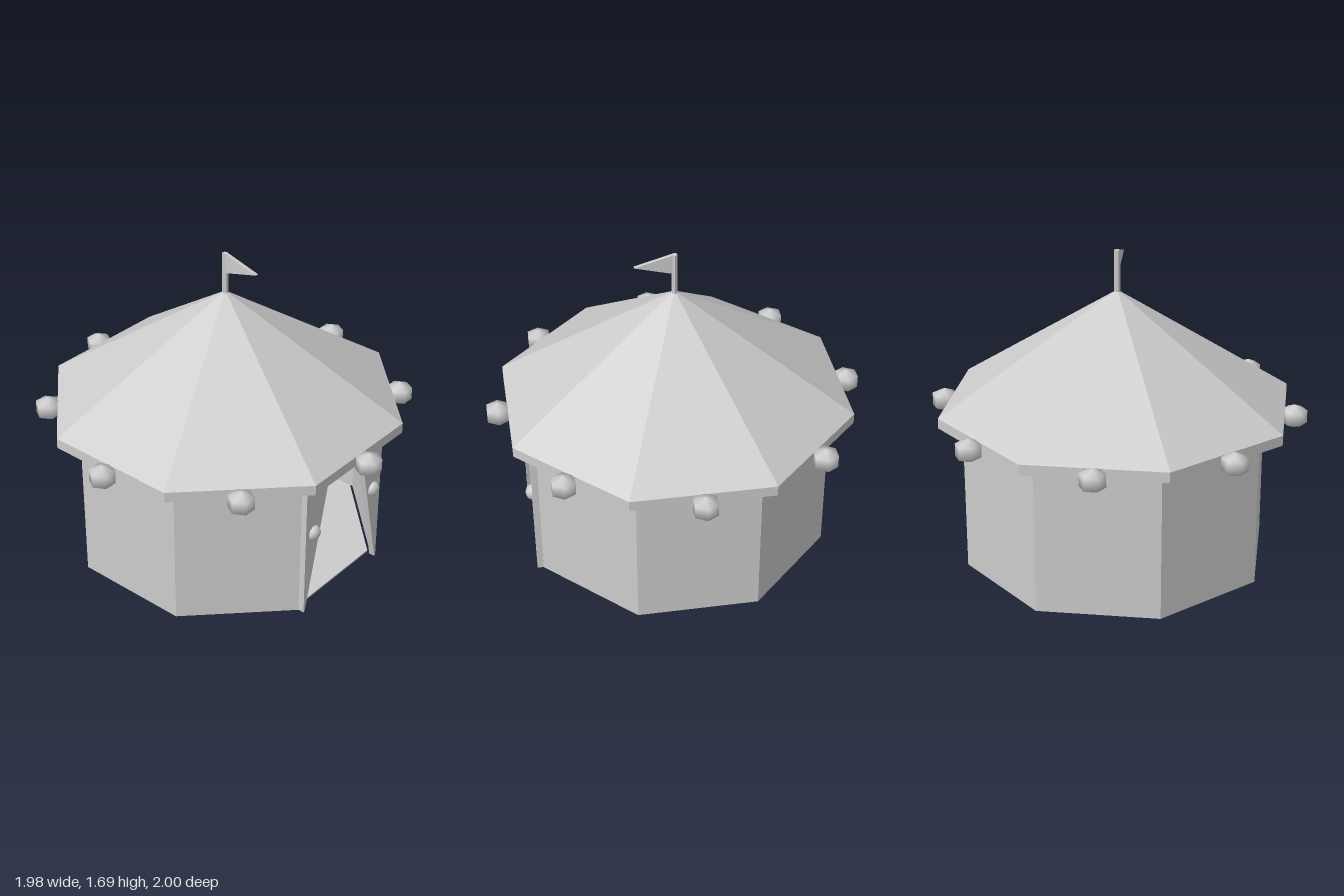
import * as THREE from 'three';

const canvas = new THREE.MeshStandardMaterial({ color: 0xcccccc, side: THREE.DoubleSide });
canvas.name = 'plain grey';

const STEP = Math.PI / 4;

// Gives every face its own normal
function faceted(geometry) {
  const g = geometry.index ? geometry.toNonIndexed() : geometry;
  g.computeVertexNormals();
  return g;
}

// Octagonal prism or cone with a flat side facing the front
function octagon(topRadius, bottomRadius, bottom, top, open = false) {
  return faceted(new THREE.CylinderGeometry(topRadius, bottomRadius, top - bottom, 8, 1, open, STEP / 2)
    .translate(0, (bottom + top) / 2, 0));
}

// Flat triangular plate of given thickness, centred in depth
function plate(points, depth) {
  const shape = new THREE.Shape(points.map(([x, y]) => new THREE.Vector2(x, y)));
  return faceted(new THREE.ExtrudeGeometry(shape, { depth, bevelEnabled: false }).translate(0, 0, -depth / 2));
}

export function createModel() {
  const tent = new THREE.Group();
  tent.name = 'tent';
  const add = (name, geometry, x = 0, y = 0, z = 0) => {
    const mesh = new THREE.Mesh(geometry, canvas);
    mesh.name = name;
    mesh.position.set(x, y, z);
    tent.add(mesh);
    return mesh;
  };

  // Seven wall panels, leaving the left side open as a doorway
  add('walls', faceted(new THREE.CylinderGeometry(0.829, 0.829, 0.81, 7, 1, true, STEP * 2.5, STEP * 7)
    .translate(0, 0.405, 0)));
  add('floor', octagon(0.812, 0.812, 0.006, 0.014));

  // Roof with a short upright rim and a flat ceiling
  add('roofRim', octagon(0.956, 0.956, 0.805, 0.86));
  add('roof', octagon(0, 0.956, 0.86, 1.475, true));

  // Balls hung around the rim
  const ballProfile = [[0, -0.064], [0.067, -0.034], [0.067, 0.034], [0, 0.064]]
    .map(([x, y]) => new THREE.Vector2(x, y));
  const ball = new THREE.LatheGeometry(ballProfile, 6);
  for (let i = 0; i < 8; i++) {
    add('rimBall', ball, 0.933 * Math.sin(i * STEP), 0.822, 0.933 * Math.cos(i * STEP));
  }

  // Tied-back door flaps, each with a round knob
  const knob = new THREE.SphereGeometry(0.042, 10, 8).scale(0.84, 1, 1);
  for (const side of [1, -1]) {
    const points = [[0.317, 0], [0.317, 0.81], [0.125, 0.81], [0.308, 0]].map(([z, y]) => [-side * z, y]);
    add('doorFlap', plate(points, 0.032).rotateY(Math.PI / 2), 0.782);
    add('flapKnob', knob, 0.796, 0.475, side * 0.253);
  }

  // Pole and pennant
  add('pole', faceted(new THREE.CylinderGeometry(0.016, 0.016, 0.235, 6)), 0, 1.568);
  add('pennant', plate([[0.01, 1.58], [0.205, 1.63], [0.01, 1.685]], 0.02));

  return tent;
}
